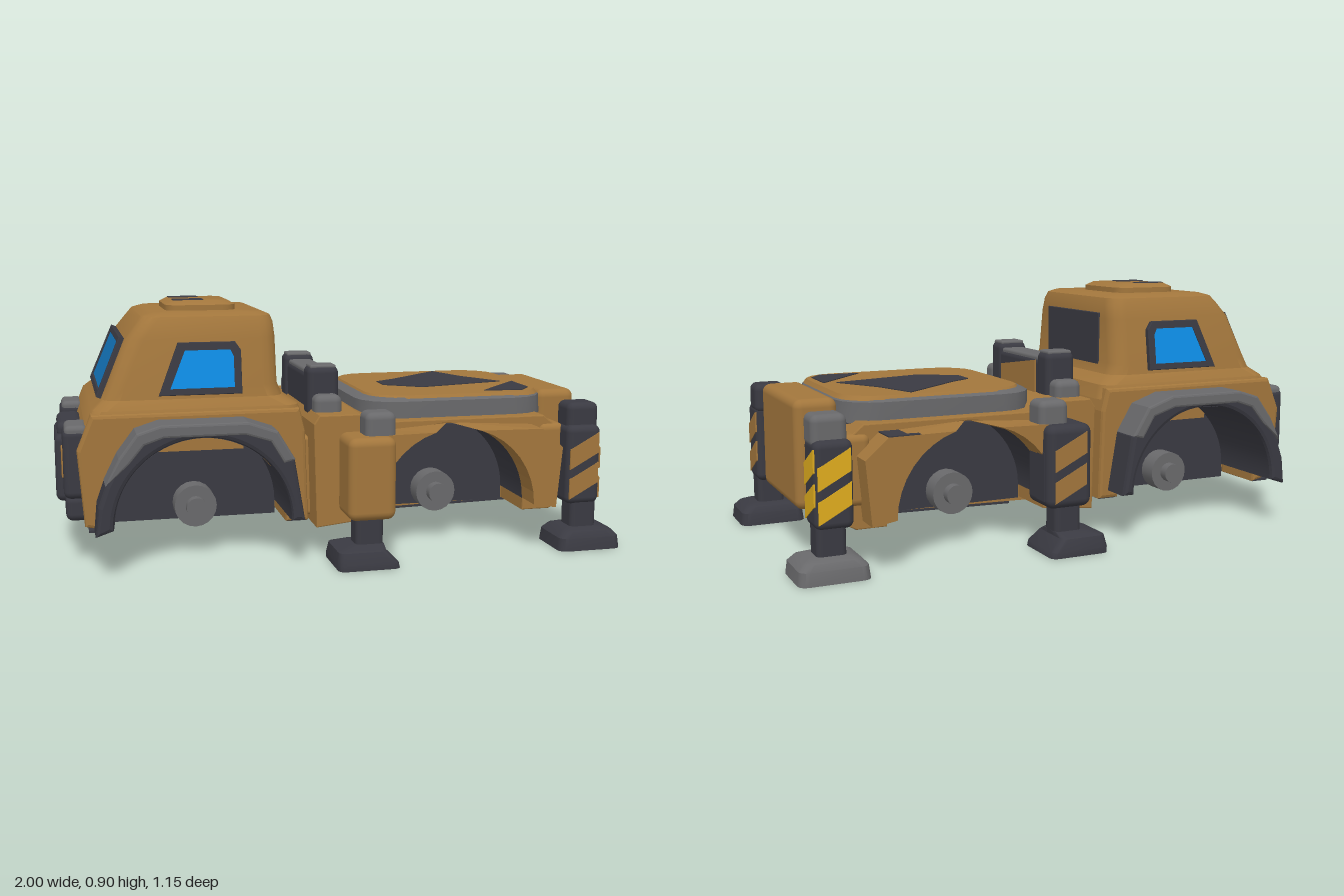
import * as THREE from 'three';
import { toCreasedNormals } from 'three/addons/utils/BufferGeometryUtils.js';
import { RoundedBoxGeometry } from 'three/addons/geometries/RoundedBoxGeometry.js';

const paint = (name, color, side = THREE.FrontSide) =>
  Object.assign(new THREE.MeshStandardMaterial({ color, side }), { name });

export function createModel() {
  const model = new THREE.Group();
  model.name = 'utilityTruck';
  const tan = paint('tan', 0xa2763c), dark = paint('darkGrey', 0x3a3a42, THREE.DoubleSide);
  const grey = paint('grey', 0x69696b), blue = paint('windowBlue', 0x0f94f2);
  const deepBlue = paint('windshieldBlue', 0x1272b8), yellow = paint('yellow', 0xe0ad1e);

  const add = (name, geo, mat) => {
    const mesh = new THREE.Mesh(geo, mat);
    mesh.name = name;
    model.add(mesh);
  };
  // Copy a part to the other side, keeping faces outward
  const mirrorZ = (geo) => {
    const g = geo.index ? geo.toNonIndexed() : geo.clone();
    g.scale(1, 1, -1);
    for (const a of Object.values(g.attributes)) {
      const n = a.itemSize;
      for (let i = 0; i < a.array.length; i += 3 * n)
        for (let k = 0; k < n; k++) {
          const t = a.array[i + k];
          a.array[i + k] = a.array[i + 2 * n + k];
          a.array[i + 2 * n + k] = t;
        }
    }
    return g;
  };
  const pair = (name, geo, mat, rightMat = mat) => {
    add(name + 'Left', geo, mat);
    add(name + 'Right', mirrorZ(geo), rightMat);
  };
  // Rounded box from its limits
  const box = (x0, x1, y0, y1, z0, z1, r = 0.025) =>
    new RoundedBoxGeometry(x1 - x0, y1 - y0, z1 - z0, 3, r)
      .translate((x0 + x1) / 2, (y0 + y1) / 2, (z0 + z1) / 2);
  const polygon = (pts) => new THREE.Shape(pts.map(([x, y]) => new THREE.Vector2(x, y)));
  const extrude = (shape, z0, z1, bevel = 0) => {
    const g = new THREE.ExtrudeGeometry(shape, {
      depth: z1 - z0 - 2 * bevel, bevelEnabled: bevel > 0, bevelSize: bevel, bevelThickness: bevel,
      bevelOffset: -bevel, bevelSegments: 2, curveSegments: 28,
    });
    return g.translate(0, 0, z0 + bevel);
  };
  // Stack of rounded rectangles: [y, x0, x1, half depth, corner radius]
  const loft = (rows, zc = 0) => {
    const pos = [], idx = [], n = 20;
    for (const [y, x0, x1, hz, r] of rows)
      for (let c = 0; c < 4; c++)
        for (let k = 0; k < 5; k++) {
          const a = (c + k / 4) * Math.PI / 2;
          const sx = c === 0 || c === 3 ? 1 : -1, sz = c < 2 ? 1 : -1;
          pos.push((x0 + x1) / 2 + sx * ((x1 - x0) / 2 - r) + r * Math.cos(a), y,
            zc + sz * (hz - r) + r * Math.sin(a));
        }
    const last = (rows.length - 1) * n, b = rows.length * n;
    for (const row of [rows[0], rows[rows.length - 1]]) pos.push((row[1] + row[2]) / 2, row[0], zc);
    for (let i = 0; i < n; i++) {
      const j = (i + 1) % n;
      for (let o = 0; o < last; o += n) idx.push(o + i, o + n + i, o + j, o + j, o + n + i, o + n + j);
      idx.push(b, i, j, b + 1, last + j, last + i);
    }
    const g = new THREE.BufferGeometry();
    g.setAttribute('position', new THREE.Float32BufferAttribute(pos, 3));
    g.setIndex(idx);
    return toCreasedNormals(g, 0.6);
  };
  // Side outline with a round wheel arch cut from the bottom
  const archShape = (pts, cx, cy, r) => {
    const s = polygon(pts), yb = pts[pts.length - 1][1];
    s.lineTo(cx + r, yb);
    s.absarc(cx, cy, r, 0, Math.PI, false);
    s.lineTo(cx - r, yb);
    return s;
  };
  // Wheel well lining, inner wall and stub axle
  const well = (name, cx, cy, r, z1) => {
    pair(name + 'Lining', new THREE.CylinderGeometry(r, r, z1 - 0.17, 28, 1, true, Math.PI / 2, Math.PI)
      .rotateX(Math.PI / 2).translate(cx, cy, (z1 + 0.17) / 2), dark);
    pair(name + 'Wall', new THREE.CircleGeometry(r, 28, 0, Math.PI).translate(cx, cy, 0.177), dark);
    pair(name + 'WallFoot', new THREE.PlaneGeometry(2 * r, 0.05).translate(cx, cy - 0.025, 0.177), dark);
    for (const [part, rad, z] of [['Hub', 0.075, 0.25], ['Axle', 0.036, 0.285]])
      pair(name + part, new THREE.CylinderGeometry(rad, rad, z - 0.17, 20)
        .rotateX(Math.PI / 2).translate(cx, cy + 0.01, (z + 0.17) / 2), grey);
  };

  // Cab lower body
  const cabSide = [[-0.91, 0.16], [-0.93, 0.42], [-0.88, 0.54], [-0.17, 0.54], [-0.15, 0.46], [-0.14, 0.14]];
  pair('cabSide', extrude(archShape(cabSide, -0.52, 0.17, 0.3), 0.17, 0.385, 0.012), tan);
  add('cabCore', extrude(polygon(cabSide), -0.175, 0.175), tan);
  add('cabUnderside', new THREE.BoxGeometry(0.72, 0.008, 0.34).translate(-0.53, 0.142, 0), dark);
  for (const x of [-0.862, -0.18])
    add('cabUndersideEnd', new THREE.BoxGeometry(0.07, 0.008, 0.74).translate(x, 0.141, 0), dark);
  well('cabWell', -0.52, 0.17, 0.298, 0.48);
  pair('wellPanel', new THREE.BoxGeometry(0.39, 0.055, 0.008).translate(-0.53, 0.395, 0.18), tan);

  // Arched dark fenders with a grey cover over the top
  const rim = [[-0.845, 0.32], [-0.8, 0.41], [-0.74, 0.49], [-0.66, 0.515],
    [-0.37, 0.515], [-0.27, 0.48], [-0.21, 0.38]];
  const fender = [[-0.88, 0.15], [-0.87, 0.25], ...rim, [-0.175, 0.17]];
  pair('fender', extrude(archShape(fender, -0.52, 0.17, 0.3), 0.37, 0.5, 0.015), dark);
  const rimInner = [[-0.25, 0.37], [-0.295, 0.445], [-0.38, 0.472], [-0.65, 0.472], [-0.715, 0.45], [-0.765, 0.39]];
  pair('fenderCover', extrude(polygon([...rim, ...rimInner].map(([x, y]) => [x, y + 0.004])), 0.37, 0.507, 0.008), grey);

  // Cab upper shell and roof hatch
  add('cabShell', loft([[0.5, -0.9, -0.15, 0.38, 0.05], [0.55, -0.875, -0.165, 0.37, 0.05],
    [0.58, -0.84, -0.215, 0.34, 0.06], [0.62, -0.823, -0.23, 0.333, 0.06], [0.78, -0.755, -0.232, 0.31, 0.06],
    [0.83, -0.715, -0.236, 0.297, 0.06], [0.855, -0.695, -0.245, 0.285, 0.06], [0.866, -0.66, -0.27, 0.255, 0.05]]), tan);
  add('roofHatch', loft([[0.85, -0.6, -0.35, 0.155, 0.05], [0.885, -0.6, -0.35, 0.155, 0.05],
    [0.899, -0.575, -0.375, 0.13, 0.04]]), tan);
  for (const [z, h] of [[-0.085, 0.025], [0.07, 0.03]])
    add('hatchHandle', box(-0.57, -0.46, 0.895, 0.902, z - h, z + h, 0.003), dark);
  add('cabRearPanel', box(-0.235, -0.226, 0.58, 0.8, -0.21, 0.2, 0.003), dark);

  // Windows: raised frame and a thin pane
  const outer = [[-0.65, 0.59], [-0.58, 0.77], [-0.385, 0.77], [-0.365, 0.74], [-0.365, 0.59]];
  const inner = [[-0.615, 0.61], [-0.56, 0.745], [-0.4, 0.745], [-0.388, 0.72], [-0.388, 0.61]];
  const frame = polygon(outer);
  frame.holes.push(polygon(inner));
  const onSide = (g) => g.translate(0, -0.68, 0).rotateX(-0.145).translate(0, 0.68, 0.322);
  pair('sideWindowFrame', onSide(extrude(frame, -0.01, 0.022, 0.003)), dark);
  pair('sideWindow', onSide(extrude(polygon(inner), 0.007, 0.015)), blue);
  const trapezoid = (b, t, h) => polygon([[-b, -h], [b, -h], [t, h], [-t, h]]);
  const shield = trapezoid(0.265, 0.24, 0.11);
  shield.holes.push(trapezoid(0.237, 0.215, 0.088));
  const onFront = (g) => g.rotateX(-0.4).rotateY(-Math.PI / 2).translate(-0.798, 0.68, 0);
  add('windshieldFrame', onFront(extrude(shield, -0.01, 0.018, 0.003)), dark);
  add('windshield', onFront(extrude(trapezoid(0.238, 0.216, 0.089), 0.005, 0.012)), deepBlue);

  // Front bumper and lamps
  add('bumper', box(-1, -0.9, 0.2, 0.44, -0.165, 0.165), dark);
  add('bumperPlate', box(-0.99, -0.9, 0.42, 0.48, -0.13, 0.13), dark);
  add('lowerBumper', box(-0.97, -0.88, 0.16, 0.25, -0.3, 0.3), dark);
  pair('lampHousing', box(-0.975, -0.89, 0.25, 0.49, 0.2, 0.355), dark);
  pair('lampHousingTop', box(-0.968, -0.89, 0.46, 0.502, 0.203, 0.352, 0.018), grey);
  pair('lamp', box(-0.98, -0.973, 0.32, 0.42, 0.24, 0.315, 0.003), tan);

  // Link between cab and bed
  add('chassisLink', box(-0.2, -0.08, 0.13, 0.42, -0.28, 0.28, 0.015), tan);

  // Bed body
  const bedSide = [[-0.11, 0.11], [-0.12, 0.48], [-0.1, 0.51], [0.05, 0.51], [0.12, 0.48],
    [0.74, 0.48], [0.8, 0.43], [0.79, 0.14], [0.77, 0.13]];
  pair('bedSide', extrude(archShape(bedSide, 0.375, 0.175, 0.29), 0.17, 0.385, 0.004), tan);
  add('bedCore', extrude(polygon(bedSide), -0.175, 0.175), tan);
  add('bedUnderside', new THREE.BoxGeometry(0.64, 0.008, 0.34).rotateZ(0.022).translate(0.44, 0.116, 0), dark);
  add('bedUndersideEnd', new THREE.BoxGeometry(0.1, 0.008, 0.74).translate(0.72, 0.131, 0), dark);
  well('bedWell', 0.375, 0.175, 0.288, 0.385);
  add('rearSill', box(0.76, 0.82, 0.14, 0.21, -0.34, 0.34, 0.012), dark);

  // Flared side panels whose tops meet in a point against the body
  const flare = (name, a0, a1, rest) => {
    const arc = Array.from({ length: 9 }, (_, i) => {
      const a = a0 + (a1 - a0) * i / 8;
      return [0.375 + 0.29 * Math.cos(a), 0.175 + 0.29 * Math.sin(a)];
    });
    const tip = arc[8], g = extrude(polygon([...arc, ...rest]), 0.37, 0.49);
    const p = g.attributes.position;
    for (let i = 0; i < p.count; i++)
      if (p.getZ(i) < 0.4 && Math.hypot(p.getX(i) - tip[0], p.getY(i) - tip[1]) < 0.002)
        p.setXY(i, 0.375, 0.468);
    g.computeVertexNormals();
    pair(name, g, tan);
  };
  flare('rearFlare', 0, 1.28, [[0.69, 0.45], [0.77, 0.38], [0.75, 0.16]]);
  flare('frontFlare', Math.PI, 1.86, [[0.12, 0.45], [0.05, 0.4], [0.05, 0.16]]);
  add('flarePatch', new THREE.BoxGeometry(0.11, 0.008, 0.12).translate(0.635, 0.45, -0.43), dark);

  // Round-cornered mounting deck
  add('deckRim', loft([[0.45, 0.1, 0.77, 0.31, 0.13], [0.47, 0.075, 0.79, 0.335, 0.14],
    [0.54, 0.075, 0.785, 0.335, 0.14], [0.553, 0.1, 0.77, 0.32, 0.13]]), grey);
  add('deckTop', loft([[0.545, 0.105, 0.78, 0.327, 0.13], [0.56, 0.115, 0.77, 0.318, 0.13]]), tan);
  const patch = (pts) => extrude(polygon(pts.map(([x, z]) => [x, -z])), 0, 0.005)
    .rotateX(-Math.PI / 2).translate(0, 0.558, 0);
  add('deckPatch', patch([[0.54, -0.29], [0.6, -0.12], [0.7, 0.05], [0.36, 0.13], [0.23, 0.04], [0.23, -0.05], [0.31, -0.1]]), dark);
  add('deckCornerPatch', patch([[0.745, 0.06], [0.745, 0.22], [0.7, 0.28], [0.55, 0.27]]), dark);

  // Cross bar with upright stubs
  add('crossBar', box(-0.1, 0, 0.48, 0.64, -0.24, 0.24), dark);
  add('crossBarTop', box(-0.095, -0.005, 0.62, 0.645, -0.165, 0.165, 0.01), grey);
  add('crossBarFace', extrude(polygon([[-0.15, 0.5], [0.15, 0.5], [0.15, 0.63], [-0.15, 0.585]]), 0, 0.006)
    .rotateY(Math.PI / 2), tan);
  pair('barStub', box(-0.11, 0.005, 0.48, 0.665, 0.155, 0.25), dark);
  pair('barStubTop', box(-0.1, -0.005, 0.655, 0.67, 0.165, 0.24, 0.007), grey);
  pair('barEnd', box(-0.1, 0.0, 0.48, 0.57, 0.24, 0.32), grey);

  // Tailgate box
  add('tailBox', box(0.78, 0.93, 0.175, 0.55, -0.237, 0.237, 0.03), tan);
  pair('rearArm', box(0.72, 0.82, 0.21, 0.45, 0.22, 0.4), tan);

  // Two broad diagonal warning stripes on a leg face
  const stripes = (name, w, place, mat) => {
    for (const y of [0.18, 0.29]) {
      const s = polygon([[-w / 2, y], [w / 2, y + 0.06], [w / 2, y + 0.135], [-w / 2, y + 0.075]]);
      add(name, place(extrude(s, 0, 0.006)), mat);
    }
  };

  // Rear stabiliser legs
  pair('rearLegPost', box(0.8, 0.93, 0.16, 0.45, 0.34, 0.47), dark);
  pair('rearLegNeck', box(0.825, 0.925, 0.04, 0.2, 0.365, 0.46, 0.02), dark);
  pair('rearLegCap', box(0.81, 0.93, 0.42, 0.53, 0.335, 0.445), dark, grey);
  const rearFoot = (z) => loft([[0, 0.76, 1, 0.105, 0.03], [0.045, 0.765, 0.995, 0.1, 0.03],
    [0.066, 0.785, 0.975, 0.085, 0.03], [0.075, 0.81, 0.95, 0.06, 0.02]], z);
  add('rearFootLeft', rearFoot(0.415), dark);
  add('rearFootRight', rearFoot(-0.415), grey);
  for (const s of [1, -1]) {
    const mat = s > 0 ? tan : yellow;
    stripes('rearLegStripe', 0.11, (g) => g.rotateY(Math.PI / 2).translate(0.926, 0, s * 0.405), mat);
    stripes('rearLegStripe', 0.11, (g) => g.rotateY(s > 0 ? 0 : Math.PI).translate(0.865, 0, s * 0.466), mat);
  }

  // Front stabiliser legs
  pair('frontLegPost', box(-0.03, 0.14, 0.16, 0.45, 0.36, 0.535, 0.03), tan, dark);
  pair('frontLegPatch', new THREE.BoxGeometry(0.008, 0.17, 0.06).translate(0.138, 0.27, 0.475), dark);
  pair('frontLegNeck', box(0.0, 0.1, 0.04, 0.2, 0.42, 0.51, 0.02), dark);
  pair('frontLegCap', box(0.04, 0.15, 0.42, 0.53, 0.385, 0.49), grey);
  pair('frontFoot', loft([[0, -0.075, 0.145, 0.11, 0.025], [0.02, -0.075, 0.14, 0.11, 0.025],
    [0.06, -0.07, 0.1, 0.095, 0.025], [0.075, -0.02, 0.1, 0.06, 0.02]], 0.465), dark);
  stripes('frontLegStripe', 0.12, (g) => g.rotateY(Math.PI).translate(0.055, 0, -0.531), tan);

  return model;
}
